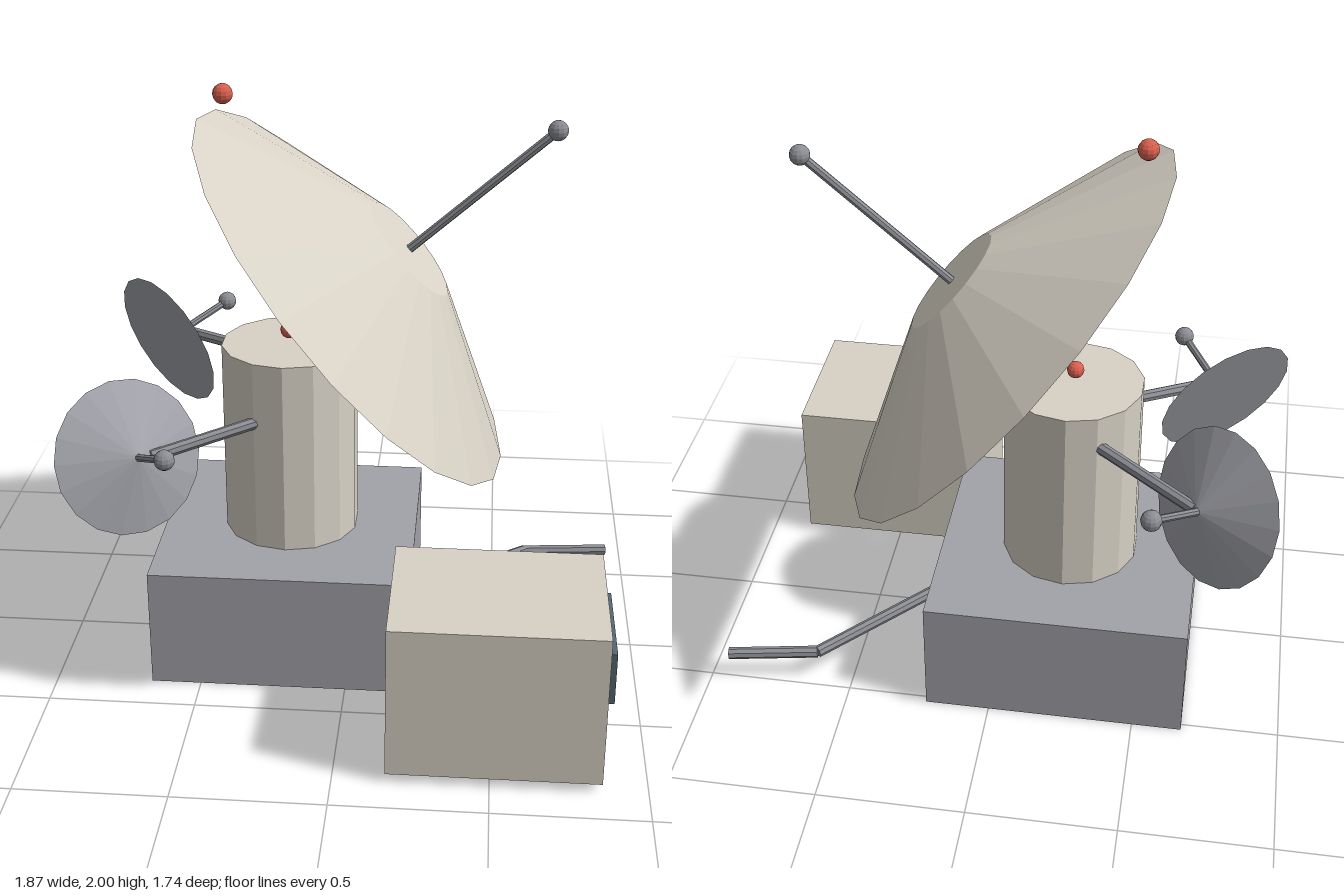
import * as THREE from 'three';

const material = (color) => new THREE.MeshStandardMaterial({ color, flatShading: true });
const UP = new THREE.Vector3(0, 1, 0);
const vec = (p) => new THREE.Vector3(...p);

export function createModel() {
  const model = new THREE.Group();
  const beige = material(0xd8d2c6);
  const grey = material(0xa2a3aa);
  const metal = material(0x8c8e94);
  const glass = material(0x566872);
  const red = material(0xd9604f);

  function add(name, geometry, mat, position) {
    const mesh = new THREE.Mesh(geometry, mat);
    mesh.name = name;
    mesh.position.set(...position);
    model.add(mesh);
    return mesh;
  }
  const box = (name, size, mat, position) => add(name, new THREE.BoxGeometry(...size), mat, position);
  const ball = (name, radius, mat, position) => add(name, new THREE.SphereGeometry(radius, 12, 8), mat, position);

  // Cylinder or frustum running from point a to point b
  function bar(name, a, b, rStart, rEnd, sides, mat) {
    const from = vec(a), to = vec(b);
    const dir = to.clone().sub(from);
    const geometry = new THREE.CylinderGeometry(rEnd, rStart, dir.length(), sides);
    const mid = from.add(to).multiplyScalar(0.5);
    const mesh = add(name, geometry, mat, mid.toArray());
    mesh.quaternion.setFromUnitVectors(UP, dir.normalize());
    return mesh;
  }

  // Solid dish with a feed rod and ball along its axis
  function dish(name, center, axis, { rim, hub, depth, reach, rod, tip, sides, mat }) {
    const n = vec(axis).normalize();
    const along = (d) => vec(center).addScaledVector(n, d).toArray();
    bar(name, center, along(depth), rim, hub, sides, mat);
    bar(name + 'FeedRod', along(depth - 0.01), along(reach), rod, rod, 8, metal);
    ball(name + 'FeedTip', tip, metal, along(reach));
  }

  // Base, column and equipment cabin
  box('base', [0.89, 0.42, 0.89], grey, [-0.225, 0.21, -0.08]);
  add('column', new THREE.CylinderGeometry(0.235, 0.235, 0.685, 14), beige, [-0.225, 0.763, -0.08]);
  box('cabin', [0.685, 0.525, 0.53], beige, [0.512, 0.293, 0.605]);
  box('cabinWindow', [0.04, 0.18, 0.37], glass, [0.86, 0.37, 0.608]);

  // Main dish
  dish('mainDish', [-0.005, 1.29, -0.08], [0.753, 0.658, 0], {
    rim: 0.785, hub: 0.196, depth: 0.25, reach: 0.878, rod: 0.015, tip: 0.034, sides: 20, mat: beige,
  });

  // Side dishes and their arms
  const small = { rim: 0.26, hub: 0.002, depth: 0.095, reach: 0.29, rod: 0.013, tip: 0.034, sides: 18, mat: grey };
  dish('frontSideDish', [-0.724, 0.833, 0.304], [0.57, 0.345, 0.745], small);
  dish('rearSideDish', [-0.727, 0.938, -0.474], [0.67, 0.29, -0.69], small);
  bar('frontSideArm', [-0.64, 0.853, 0.335], [-0.29, 0.89, 0.095], 0.021, 0.021, 8, metal);
  bar('rearSideArm', [-0.66, 0.957, -0.515], [-0.29, 0.987, -0.24], 0.021, 0.021, 8, metal);

  // Warning lights
  ball('columnLight', 0.029, red, [-0.228, 1.15, -0.08]);
  ball('dishLight', 0.034, red, [-0.432, 1.967, -0.08]);

  // Bent pipe leaving the base
  const bend = [0.62, 0.115, -0.455];
  bar('pipeInner', [0.22, 0.16, -0.075], bend, 0.021, 0.021, 8, metal);
  bar('pipeOuter', bend, [0.93, 0.107, -0.502], 0.021, 0.021, 8, metal);

  return model;
}
